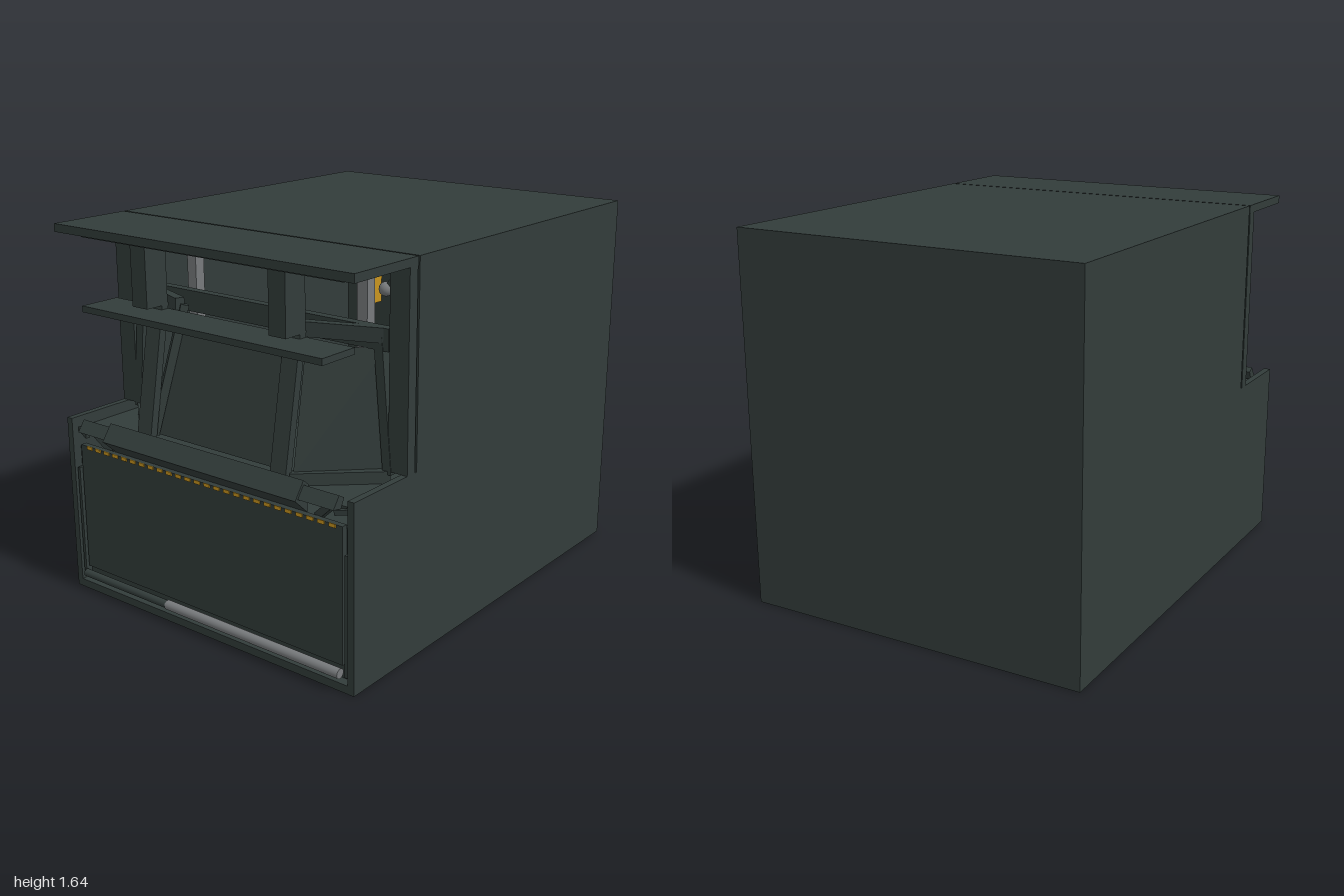
import * as THREE from 'three';

export function createModel() {
  const model = new THREE.Group();
  const mat = (name, color) => {
    const m = new THREE.MeshStandardMaterial({ color });
    m.name = name;
    return m;
  };
  const slate = mat('dark slate', 0x323c3a);
  const grey = mat('metal grey', 0x777a7c);
  const yellow = mat('warning yellow', 0xc8951f);

  const add = (name, geo, material = slate) => {
    const mesh = new THREE.Mesh(geo, material);
    mesh.name = name;
    model.add(mesh);
    return mesh;
  };
  // Box given by its min and max along each axis
  const box = (name, x0, x1, y0, y1, z0, z1, material) => {
    const mesh = add(name, new THREE.BoxGeometry(x1 - x0, y1 - y0, z1 - z0), material);
    mesh.position.set((x0 + x1) / 2, (y0 + y1) / 2, (z0 + z1) / 2);
    return mesh;
  };
  // Square bar between two points
  const bar = (name, a, b, w, d, material) => {
    const p = new THREE.Vector3(...a), q = new THREE.Vector3(...b);
    const mesh = add(name, new THREE.BoxGeometry(w, d, p.distanceTo(q)), material);
    mesh.position.copy(p).add(q).multiplyScalar(0.5);
    mesh.lookAt(q);
    return mesh;
  };
  // Side profile of [z, y] points, extruded along x
  const profile = (name, points, x0, x1, material) => {
    const shape = new THREE.Shape(points.map(([z, y]) => new THREE.Vector2(z, y)));
    const geo = new THREE.ExtrudeGeometry(shape, { depth: x1 - x0, bevelEnabled: false });
    geo.rotateY(-Math.PI / 2);
    geo.translate(x1, 0, 0);
    return add(name, geo, material);
  };
  const ball = (name, x, y, z, r) =>
    add(name, new THREE.SphereGeometry(r, 16, 12), grey).position.set(x, y, z);

  // Outer shell
  const W = 0.785, T = 0.03, I = W - T;
  const side = [[-1, 0], [0.97, 0], [0.97, 0.795], [0.578, 0.795], [0.578, 1.64], [-1, 1.64]];
  profile('rightWall', side, -W, -I);
  profile('leftWall', side, I, W);
  box('floor', -I, I, 0, 0.035, -1, 0.97);
  box('backWall', -I, I, 0.035, 1.605, -1, -0.97);
  box('rearRoof', -I, I, 1.605, 1.64, -1, 0.578);
  box('frontCanopy', -W, W, 1.605, 1.64, 0.586, 0.97);
  box('canopyRib', -0.69, 0.69, 1.585, 1.605, 0.64, 0.91);
  box('rearLintel', -I, I, 1.55, 1.605, 0.53, 0.57);
  box('deck', -I, I, 0.725, 0.745, 0.3, 0.92);

  // Lower front: recessed door, frame and roller
  box('doorBacking', -I, I, 0.035, 0.66, 0.9, 0.93);
  box('frontDoor', -0.72, 0.72, 0.105, 0.68, 0.93, 0.957);
  for (const s of [-1, 1]) {
    box('doorRail', s * 0.74 - 0.007, s * 0.74 + 0.007, 0.06, 0.57, 0.93, 0.962);
  }
  const roller = (name, x0, x1, r, material) => {
    const geo = new THREE.CylinderGeometry(r, r, x1 - x0, 20).rotateZ(Math.PI / 2);
    add(name, geo, material).position.set((x0 + x1) / 2, 0.077, 0.972);
  };
  roller('rollerCore', -0.72, -0.21, 0.017, slate);
  roller('rollerSleeve', -0.21, 0.72, 0.021, grey);
  for (let i = 0; i < 26; i++) {
    const x = -0.68 + i * 0.0535;
    box('warningDash', x, x + 0.032, 0.667, 0.682, 0.957, 0.961, yellow);
  }

  // Projecting lip with narrower wings
  profile('lip', [[1.0, 0.745], [0.95, 0.815], [0.92, 0.79], [0.93, 0.68]], -0.53, 0.53);
  for (const s of [-1, 1]) {
    const x0 = s < 0 ? -0.7 : 0.53;
    profile('lipWing', [[0.985, 0.748], [0.95, 0.797], [0.92, 0.78], [0.94, 0.74]], x0, x0 + 0.17);
    bar('wingBrace', [s * 0.66, 0.75, 0.93], [s * 0.57, 0.67, 0.91], 0.03, 0.03);
    bar('wingClip', [s * 0.75, 0.74, 0.93], [s * 0.68, 0.725, 0.95], 0.02, 0.02);
  }

  // Upper opening: posts, hangers and raked pillars
  for (const s of [-1, 1]) {
    const c = s * 0.74, h = s * 0.368;
    box('cornerPost', c - 0.045, c + 0.045, 0.795, 1.605, 0.59, 0.64);
    box('hanger', h - 0.042, h + 0.042, 1.33, 1.605, 0.785, 0.9);
    bar('frontPillar', [h, 0.78, 0.895], [h, 1.34, 0.795], 0.08, 0.035);
    bar('innerPillar', [s * 0.36, 0.78, 0.86], [s * 0.275, 1.33, 0.74], 0.035, 0.035);
    bar('outerPillar', [s * 0.69, 0.78, 0.62], [s * 0.64, 1.33, 0.62], 0.045, 0.04);
    bar('headerSide', [s * 0.28, 1.33, 0.76], [s * 0.69, 1.33, 0.61], 0.04, 0.06);
    bar('sillSide', [s * 0.4, 0.77, 0.88], [s * 0.69, 0.77, 0.62], 0.04, 0.05);
    ball('lamp', s * 0.648, 1.5, 0.6, 0.028);
    ball('smallLamp', s * 0.573, 1.56, 0.57, 0.018);
    bar('lampArm', [s * 0.648, 1.5, 0.6], [s * 0.7, 1.56, 0.6], 0.018, 0.018);
  }
  box('shelf', -0.64, 0.64, 1.285, 1.312, 0.78, 0.97);
  box('header', -0.69, 0.69, 1.27, 1.36, 0.6, 0.64);

  // Flat panels of the booth: raked front and one canted side
  const quad = (name, a, b, c, d) => {
    const geo = new THREE.BufferGeometry();
    geo.setAttribute('position', new THREE.Float32BufferAttribute([...a, ...b, ...c, ...a, ...c, ...d], 3));
    geo.computeVertexNormals();
    add(name, geo, panel);
  };
  const panel = slate.clone();
  panel.name = 'slate panel';
  panel.side = THREE.DoubleSide;
  quad('frontPanel', [-0.36, 0.78, 0.85], [0.36, 0.78, 0.85], [0.27, 1.27, 0.745], [-0.27, 1.27, 0.745]);
  quad('cantedPanel', [0.41, 0.78, 0.87], [0.69, 0.78, 0.6], [0.65, 1.27, 0.6], [0.38, 1.27, 0.75]);

  // Poles and fittings inside
  box('tallPole', -0.49, -0.44, 0.745, 1.605, 0.45, 0.5, grey);
  box('shortPole', 0.435, 0.485, 0.745, 1.605, 0.45, 0.5, grey);
  box('poleBracket', -0.525, -0.42, 1.135, 1.18, 0.43, 0.445, grey);
  box('poleFoot', -0.54, -0.42, 0.83, 0.88, 0.5, 0.55);
  box('footMarker', -0.555, -0.535, 0.865, 0.885, 0.5, 0.55, yellow);
  box('yellowPlate', 0.398, 0.406, 1.36, 1.48, 0.3, 0.42, yellow);
  return model;
}
